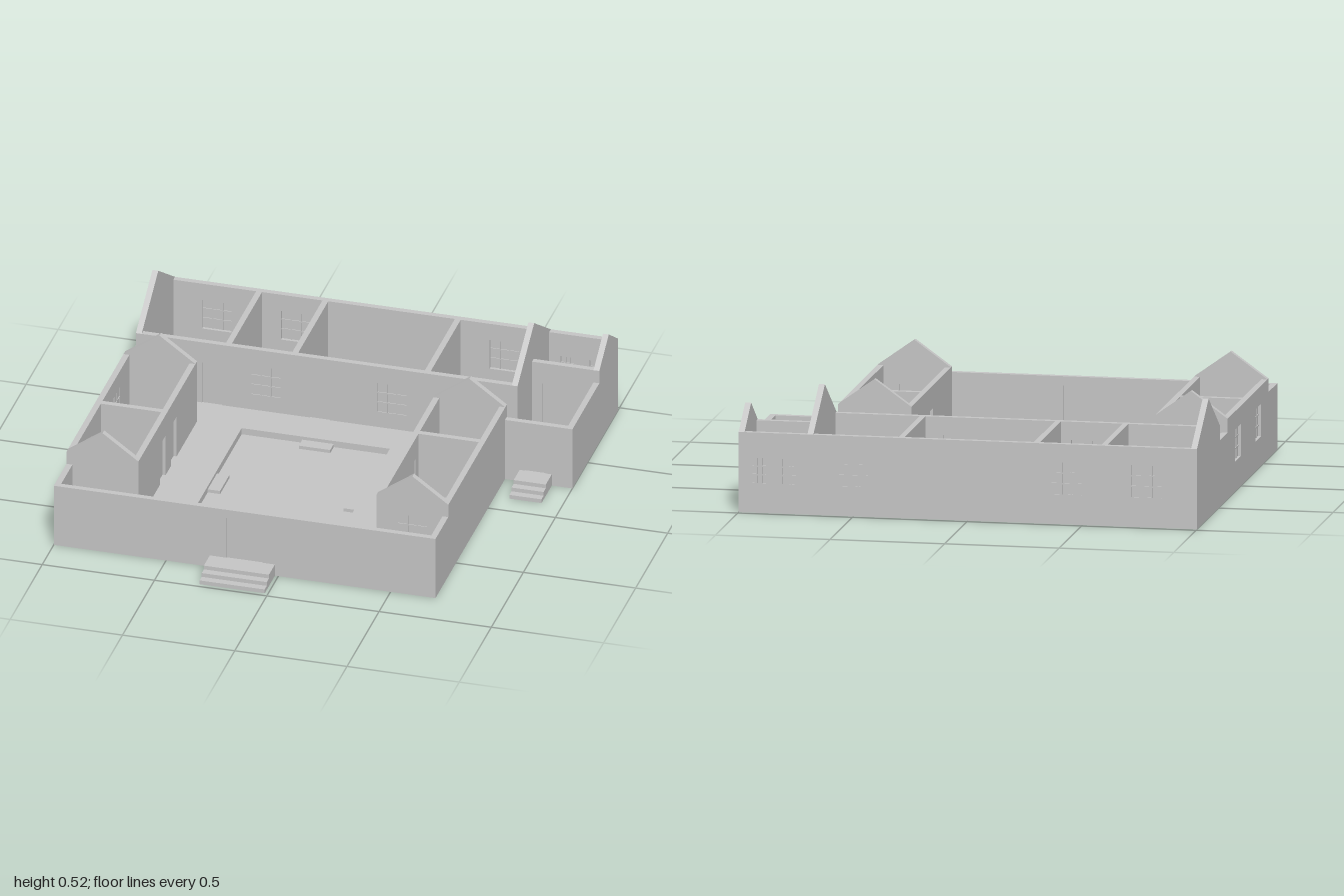
import * as THREE from 'three';

const T = 0.026;        // wall thickness
const FLOOR = 0.055;    // raised floor level
const EAVE = 0.35, LOW = 0.29;

export function createModel() {
  const model = new THREE.Group();
  model.name = 'courtyardHouse';
  const plaster = new THREE.MeshStandardMaterial({ color: 0xc6c6c6 });
  plaster.name = 'plainPlaster';

  function add(parent, name, geometry) {
    const mesh = new THREE.Mesh(geometry, plaster);
    mesh.name = name;
    parent.add(mesh);
    return mesh;
  }
  function block(parent, name, x0, x1, y0, y1, z0, z1) {
    add(parent, name, new THREE.BoxGeometry(x1 - x0, y1 - y0, z1 - z0))
      .position.set((x0 + x1) / 2, (y0 + y1) / 2, (z0 + z1) / 2);
  }
  const rectPath = (a, b, c, d) => new THREE.Path([[a, c], [b, c], [b, d], [a, d]].map(p => new THREE.Vector2(...p)));

  // Openings: centre along the wall, width, sill, head, kind
  const door = (u, w = 0.09) => ({ u, w, y0: FLOOR, y1: 0.25, door: true });
  const win = (u, w = 0.13, y0 = 0.13, y1 = 0.27) => ({ u, w, y0, y1, door: false });

  // Wall with a top profile [u, height]..., running along x or z, starting at pos on the other axis.
  // side places the door leaves and panes at the near (0) or far (1) face.
  function wall(name, axis, pos, top, openings = [], side = 1) {
    const g = new THREE.Group();
    g.name = name;
    const first = top[0][0], last = top[top.length - 1][0];
    const shape = new THREE.Shape([[first, 0], [last, 0], ...top.slice().reverse()].map(p => new THREE.Vector2(...p)));
    for (const o of openings) shape.holes.push(rectPath(o.u - o.w / 2, o.u + o.w / 2, o.y0, o.y1));
    add(g, 'masonry', new THREE.ExtrudeGeometry(shape, { depth: T, bevelEnabled: false }));
    for (const o of openings) {
      const a = o.u - o.w / 2, b = o.u + o.w / 2, h = o.y1 - o.y0;
      const face = side ? T - 0.012 : 0.004;
      block(g, o.door ? 'doorLeaf' : 'windowPane', a, b, o.y0, o.y1, face, face + 0.008);
      if (o.door) continue;
      // glazing bars
      for (const k of [1, 2]) {
        const u = a + o.w * k / 3, y = o.y0 + h * k / 3;
        block(g, 'uprightBar', u - 0.003, u + 0.003, o.y0, o.y1, face - 0.004, face + 0.012);
        block(g, 'crossBar', a, b, y - 0.003, y + 0.003, face - 0.004, face + 0.012);
      }
    }
    if (axis === 'x') g.position.z = pos;
    else { g.rotation.y = -Math.PI / 2; g.position.x = pos + T; }
    model.add(g);
  }
  const flat = (a, b, h = EAVE) => [[a, h], [b, h]];
  const gable = (a, b, peak) => [[a, EAVE], [(a + b) / 2, peak], [b, EAVE]];

  // Raised floor with a sunken courtyard (plan points are x, z)
  const plan = pts => pts.map(([x, z]) => new THREE.Vector2(x, -z));
  const slab = new THREE.Shape(plan([[-0.99, 0.81], [0.69, 0.81], [0.69, -0.275], [0.99, -0.275], [0.99, -0.97], [-0.99, -0.97]]));
  slab.holes.push(new THREE.Path(plan([[-0.48, -0.29], [0.18, -0.29], [0.18, 0.595], [0.03, 0.595],
    [0.03, 0.625], [-0.33, 0.625], [-0.33, 0.595], [-0.48, 0.595]])));
  add(model, 'floor', new THREE.ExtrudeGeometry(slab, { depth: FLOOR, bevelEnabled: false }).rotateX(-Math.PI / 2));
  const PIT = 0.025, MID = 0.04;
  block(model, 'courtyardFloor', -0.49, 0.19, 0, PIT, -0.3, 0.63);
  for (const [x0, x1, z0, z1] of [
    [-0.21, -0.07, -0.29, -0.235], [-0.48, -0.425, 0.095, 0.24], [0.125, 0.18, 0.095, 0.24],
    [-0.48, -0.33, 0.567, 0.595], [0.03, 0.18, 0.567, 0.595]]) {
    block(model, 'courtyardStep', x0, x1, PIT, MID, z0, z1);
  }

  // Outer walls
  wall('leftOuterWall', 'z', -1, [...gable(-0.98, -0.46, 0.52), [-0.46, LOW], [-0.295, LOW],
    [-0.295, EAVE], [0.62, EAVE], [0.62, LOW], [0.82, LOW]], [win(-0.06), win(0.39)], 0);
  wall('rightOuterWall', 'z', 0.7 - T, [[-0.295, EAVE], [0.62, EAVE], [0.62, LOW], [0.82, LOW]]);
  wall('frontWall', 'x', 0.82 - T, flat(-1 + T, 0.7 - T, LOW), [door(-0.15, 0.16)]);
  wall('backWall', 'x', -0.98, flat(-1 + T, 1 - T),
    [win(-0.78), win(-0.43), win(0.5), win(0.78, 0.06, 0.13, 0.24), win(0.91, 0.06, 0.13, 0.24)], 0);

  // Back range: corridor wall, partitions and end gable
  wall('corridorWall', 'x', -0.46 - T, flat(-1 + T, 0.7 - T),
    [door(-0.66), win(-0.42), door(-0.18), win(0.14), door(0.5)]);
  for (const x of [-0.605, -0.31, 0.28]) wall('backPartition', 'z', x, flat(-0.98 + T, -0.46 - T));
  wall('backRangeGable', 'z', 0.7 - T, gable(-0.98, -0.46, 0.52));

  // Side wings
  for (const w of [
    { side: 'left', x0: -1, inner: -0.68 - T, partition: 0.15, doors: [door(0.07), door(0.24)], face: 1, frontWin: [] },
    { side: 'right', x0: 0.38, inner: 0.38, partition: 0.03, doors: [door(-0.03), door(0.15)], face: 0, frontWin: [win(0.54)] }]) {
    const x1 = w.x0 + 0.32;
    wall(w.side + 'WingBackGable', 'x', -0.295, gable(w.x0, x1, 0.465));
    wall(w.side + 'WingFrontGable', 'x', 0.62 - T, gable(w.x0, x1, 0.465), w.frontWin);
    wall(w.side + 'WingCourtyardWall', 'z', w.inner, flat(-0.295 + T, 0.62 - T), w.doors, w.face);
    wall(w.side + 'WingPartition', 'x', w.partition, flat(w.x0 + T, x1 - T));
  }

  // Annex at the back right corner
  wall('annexOuterWall', 'z', 1 - T, [...gable(-0.98, -0.685, 0.45), [-0.685, LOW], [-0.265, LOW]]);
  wall('annexFrontWall', 'x', -0.265 - T, flat(0.7, 1 - T, LOW), [door(0.835)]);
  wall('annexInnerWall', 'x', -0.685 - T, flat(0.7, 1 - T), [door(0.79)]);

  // Entrance steps
  for (const [name, x0, x1, z] of [['frontSteps', -0.305, -0.015, 0.82], ['annexSteps', 0.765, 0.908, -0.265]]) {
    const stairs = new THREE.Group();
    stairs.name = name;
    [0.16, 0.127, 0.093].forEach((run, i) =>
      block(stairs, 'tread', x0, x1, FLOOR * i / 3, FLOOR * (i + 1) / 3, z, z + run));
    model.add(stairs);
  }
  return model;
}
